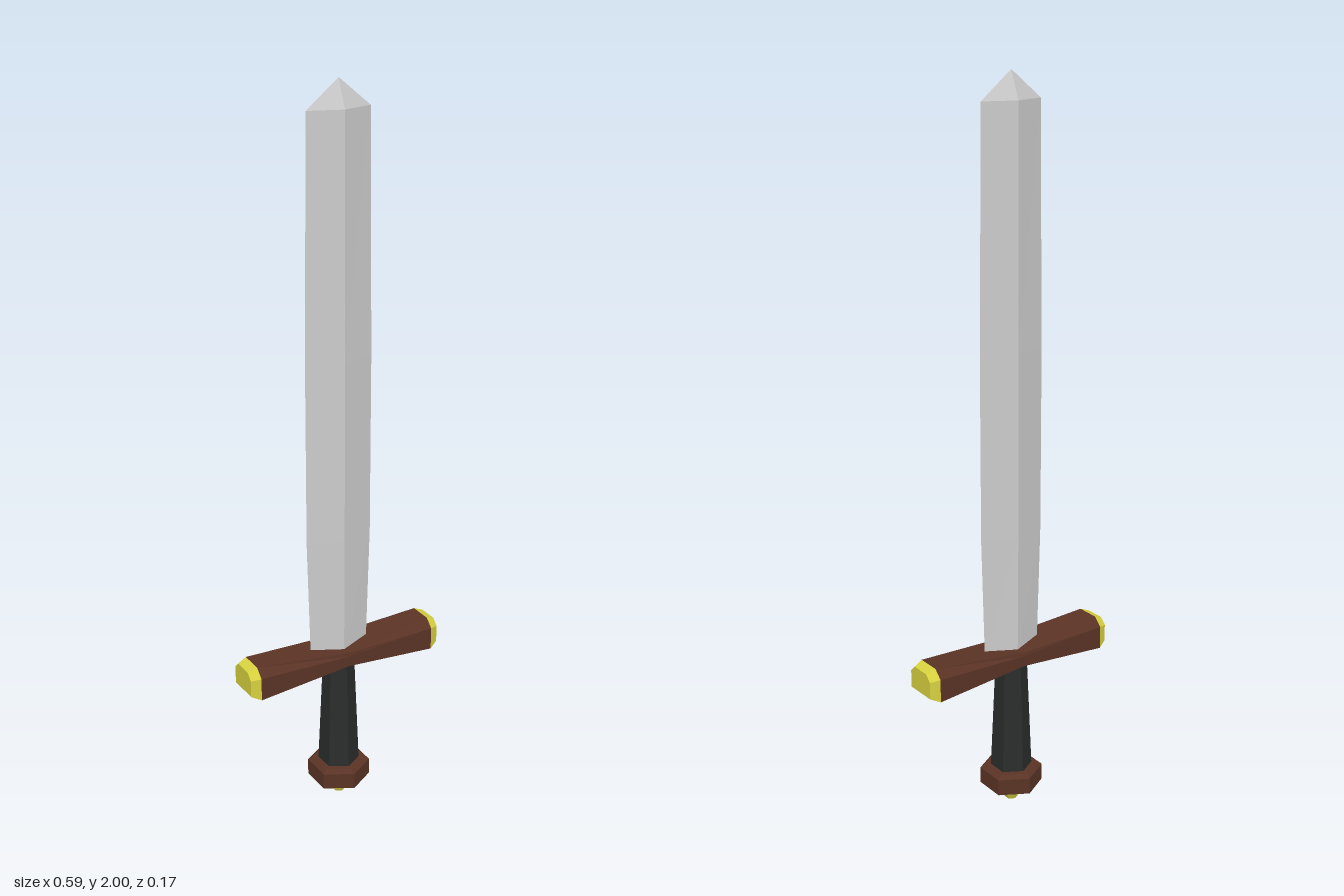
import * as THREE from 'three';

const material = (color) => new THREE.MeshStandardMaterial({ color, flatShading: true, roughness: 0.8 });

// Skin a row of equal-length rings (counter-clockwise seen from the last ring) and cap both ends.
function loft(rings) {
  const n = rings[0].length;
  const index = [];
  for (let i = 0; i < rings.length - 1; i++) {
    for (let j = 0; j < n; j++) {
      const a = i * n + j, b = i * n + (j + 1) % n;
      index.push(a, b, b + n, a, b + n, a + n);
    }
  }
  const last = (rings.length - 1) * n;
  for (let j = 1; j < n - 1; j++) {
    index.push(0, j + 1, j, last, last + j, last + j + 1);
  }
  const geometry = new THREE.BufferGeometry();
  geometry.setAttribute('position', new THREE.Float32BufferAttribute(rings.flat(2), 3));
  geometry.setIndex(index);
  const flat = geometry.toNonIndexed();
  flat.computeVertexNormals();
  return flat;
}

// Diamond section of the blade at height y
const diamond = (y, w, d) => [[w, y, 0], [0, y, -d], [-w, y, 0], [0, y, d]];

// Section of the guard at x: flat bottom, upright sides, sloped shoulders, flat top
const guardRing = (x, bottom, shoulder, top, side, topSide) => [
  [x, bottom, -side], [x, shoulder, -side], [x, top, -topSide],
  [x, top, topSide], [x, shoulder, side], [x, bottom, side],
];

export function createModel() {
  const sword = new THREE.Group();
  sword.name = 'sword';

  const steel = material(0xcccccc);
  const wood = material(0x5a3325);
  const gold = material(0xd6d03e);
  const leather = material(0x2a2c2c);

  const add = (name, geometry, mat) => {
    const mesh = new THREE.Mesh(geometry, mat);
    mesh.name = name;
    sword.add(mesh);
    return mesh;
  };
  // Six-sided tapered piece between two heights, with corners facing front and back
  const hex = (name, y0, y1, r0, r1, mat) => {
    add(name, new THREE.CylinderGeometry(r1, r0, y1 - y0, 6), mat).position.y = (y0 + y1) / 2;
  };

  // Blade, slightly swollen in the middle, with a short point
  add('blade', loft([
    diamond(0.45, 0.088, 0.03),
    diamond(0.8, 0.098, 0.032),
    diamond(1.3, 0.098, 0.032),
    diamond(1.93, 0.09, 0.03),
    diamond(2.0, 0.002, 0.001),
  ]), steel);

  // Crossguard, flaring in height toward both ends
  const endRing = (x) => guardRing(x, 0.408, 0.473, 0.496, 0.056, 0.033);
  add('crossguard', loft([
    endRing(-0.27),
    guardRing(0, 0.432, 0.462, 0.472, 0.057, 0.055),
    endRing(0.27),
  ]), wood);

  // Bevelled caps on the guard ends
  const tipRing = (x) => guardRing(x, 0.42, 0.468, 0.486, 0.045, 0.028);
  add('leftGuardCap', loft([endRing(0.27), tipRing(0.296)]), gold);
  add('rightGuardCap', loft([tipRing(-0.296), endRing(-0.27)]), gold);

  // Grip, pommel and the stud below it
  hex('grip', 0.09, 0.44, 0.058, 0.043, leather);
  hex('pommel', 0.05, 0.097, 0.087, 0.087, wood);
  hex('pommelBevel', 0.097, 0.107, 0.087, 0.074, wood);
  hex('pommelStud', 0, 0.05, 0.018, 0.044, gold);

  return sword;
}
